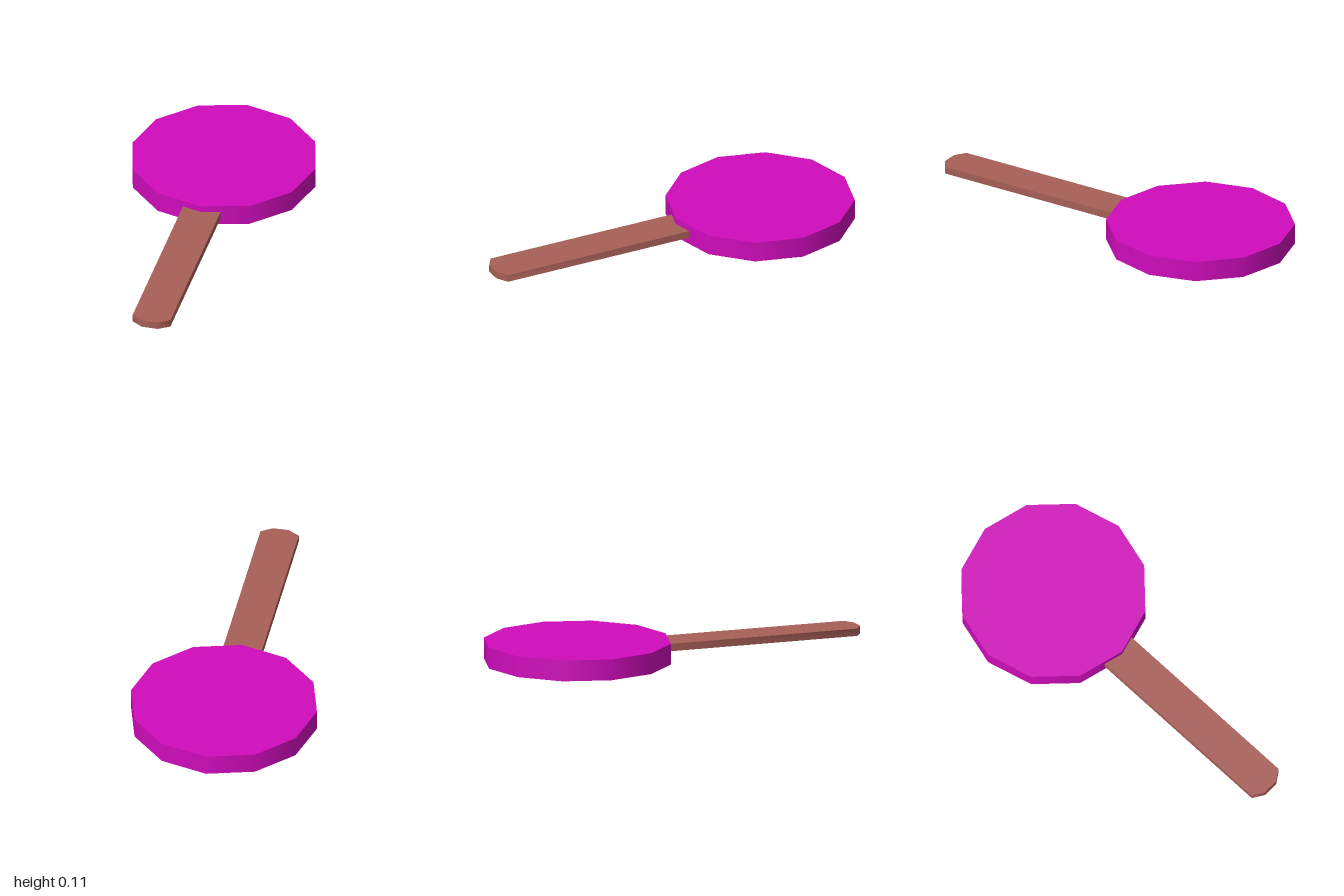
import * as THREE from 'three';
import { toCreasedNormals } from 'three/addons/utils/BufferGeometryUtils.js';

export function createModel() {
  const group = new THREE.Group();

  // Twelve-sided candy disc with a smoothly shaded rim
  const candy = new THREE.Mesh(
    new THREE.CylinderGeometry(0.48, 0.48, 0.108, 12),
    new THREE.MeshStandardMaterial({ color: 0xd00cbc })
  );
  candy.name = 'candyDisc';
  candy.position.set(0, 0.054, -0.52);
  group.add(candy);

  // Flat stick with a chamfered tip, its other end buried in the disc
  const outline = new THREE.Shape([
    [-0.099, -0.2], [0.099, -0.2], [0.099, 0.963],
    [0.041, 1], [-0.041, 1], [-0.099, 0.963],
  ].map(([x, z]) => new THREE.Vector2(x, z)));
  const stickGeometry = new THREE.ExtrudeGeometry(outline, { depth: 0.038, bevelEnabled: false });
  stickGeometry.rotateX(Math.PI / 2); // outline y becomes z, thickness runs down
  const stick = new THREE.Mesh(
    toCreasedNormals(stickGeometry, 1.1),
    new THREE.MeshStandardMaterial({ color: 0xa86058 })
  );
  stick.name = 'stick';
  stick.position.y = 0.074;
  group.add(stick);

  return group;
}
